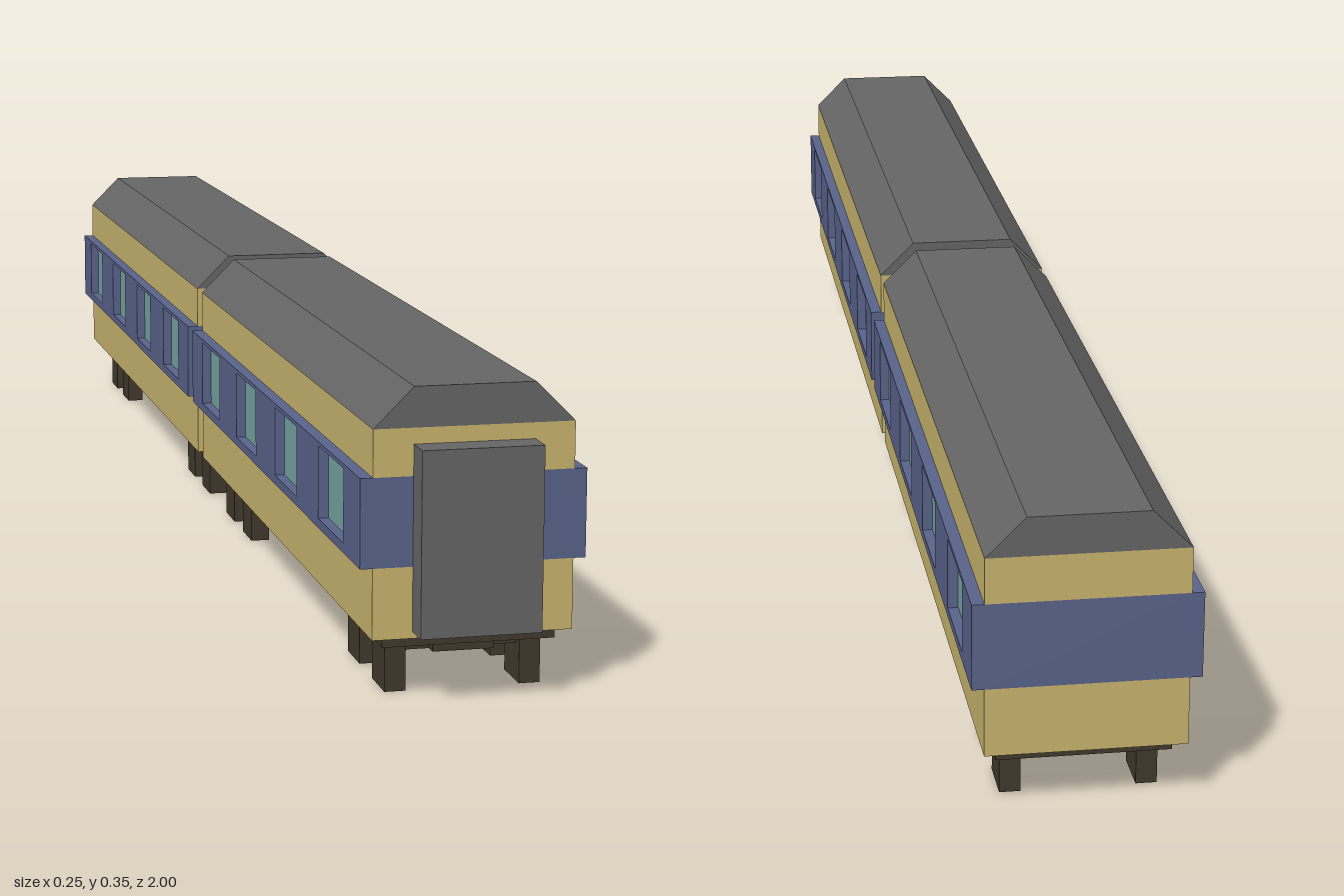
import * as THREE from 'three';

const mat = (color, side = THREE.FrontSide) =>
  new THREE.MeshStandardMaterial({ color, flatShading: true, side });
const CREAM = mat(0xc8b46e), BLUE = mat(0x59628a), GLASS = mat(0x74a39f);
const GREY = mat(0x656565), DARK = mat(0x40382c);

const LEN = 0.965;          // body length of one carriage
const HALF = 0.113;         // half width of the body
const BAND = 0.127;         // half width over the window band

// Box given by its lower and upper corners
function box(parent, name, material, [x0, y0, z0], [x1, y1, z1]) {
  const mesh = new THREE.Mesh(new THREE.BoxGeometry(x1 - x0, y1 - y0, z1 - z0), material);
  mesh.position.set((x0 + x1) / 2, (y0 + y1) / 2, (z0 + z1) / 2);
  mesh.name = name;
  parent.add(mesh);
  return mesh;
}

function rectPath(path, x0, y0, x1, y1) {
  path.moveTo(x0, y0);
  path.lineTo(x1, y0);
  path.lineTo(x1, y1);
  path.lineTo(x0, y1);
  path.closePath();
  return path;
}

// Carriage: front end of the body at z = 0, running back to z = -LEN
function createCarriage() {
  const car = new THREE.Group();
  car.name = 'carriage';

  // Body layers
  box(car, 'lowerBody', CREAM, [-HALF, 0.07, -LEN], [HALF, 0.15, 0]);
  box(car, 'bandCore', BLUE, [-HALF, 0.15, -LEN], [HALF, 0.25, 0]);
  box(car, 'upperBody', CREAM, [-HALF, 0.25, -LEN], [HALF, 0.303, 0]);

  // Roof with sloping sides
  const roofShape = new THREE.Shape([
    new THREE.Vector2(-HALF, 0.303), new THREE.Vector2(HALF, 0.303),
    new THREE.Vector2(0.068, 0.348), new THREE.Vector2(-0.068, 0.348),
  ]);
  const roof = new THREE.Mesh(
    new THREE.ExtrudeGeometry(roofShape, { depth: LEN, bevelEnabled: false }), GREY);
  roof.position.z = -LEN;
  roof.name = 'roof';
  car.add(roof);

  // Window band panels with openings, and recessed panes
  const panel = rectPath(new THREE.Shape(), 0, 0.15, LEN, 0.25);
  const centres = [0, 1, 2, 3].map((i) => 0.136 + 0.232 * i);
  for (const c of centres) {
    panel.holes.push(rectPath(new THREE.Path(), c - 0.06, 0.161, c + 0.06, 0.245));
  }
  const panelGeo = new THREE.ExtrudeGeometry(panel, { depth: BAND - HALF, bevelEnabled: false });
  panelGeo.rotateY(Math.PI / 2);
  for (const side of [-1, 1]) {
    const band = new THREE.Mesh(panelGeo, BLUE);
    band.position.x = side > 0 ? HALF : -BAND;
    band.name = side > 0 ? 'leftWindowBand' : 'rightWindowBand';
    car.add(band);
    for (const c of centres) {
      const x = side * (HALF + 0.0005);
      box(car, 'window', GLASS, [x - 0.0015, 0.161, -c - 0.06], [x + 0.0015, 0.245, -c + 0.06]);
    }
  }

  // Gangway connection at the front end
  box(car, 'gangway', GREY, [-0.068, 0.078, 0], [0.068, 0.285, 0.035]);

  // Underframe
  box(car, 'underframe', DARK, [-0.098, 0.057, -LEN + 0.015], [0.098, 0.07, -0.015]);
  box(car, 'equipmentTray', DARK, [-0.085, 0.038, -0.71], [0.085, 0.057, -0.25]);

  // Bogies: wheel blocks, cross beams and a centre beam
  for (const pair of [[0.066, 0.179], [0.777, 0.889]]) {
    const bogie = new THREE.Group();
    bogie.name = 'bogie';
    box(bogie, 'centreBeam', DARK, [-0.035, 0.043, -pair[1] - 0.03], [0.035, 0.057, -pair[0] + 0.03]);
    for (const z of pair) {
      box(bogie, 'crossBeam', DARK, [-0.066, 0.043, -z - 0.015], [0.066, 0.057, -z + 0.015]);
      for (const s of [-1, 1]) {
        box(bogie, 'wheelBlock', DARK, [s * 0.077 - 0.012, 0, -z - 0.028], [s * 0.077 + 0.012, 0.057, -z + 0.028]);
      }
    }
    car.add(bogie);
  }
  return car;
}

export function createModel() {
  const train = new THREE.Group();
  train.name = 'train';
  for (const z of [0.965, -0.035]) {
    const car = createCarriage();
    car.position.z = z;
    train.add(car);
  }
  return train;
}
